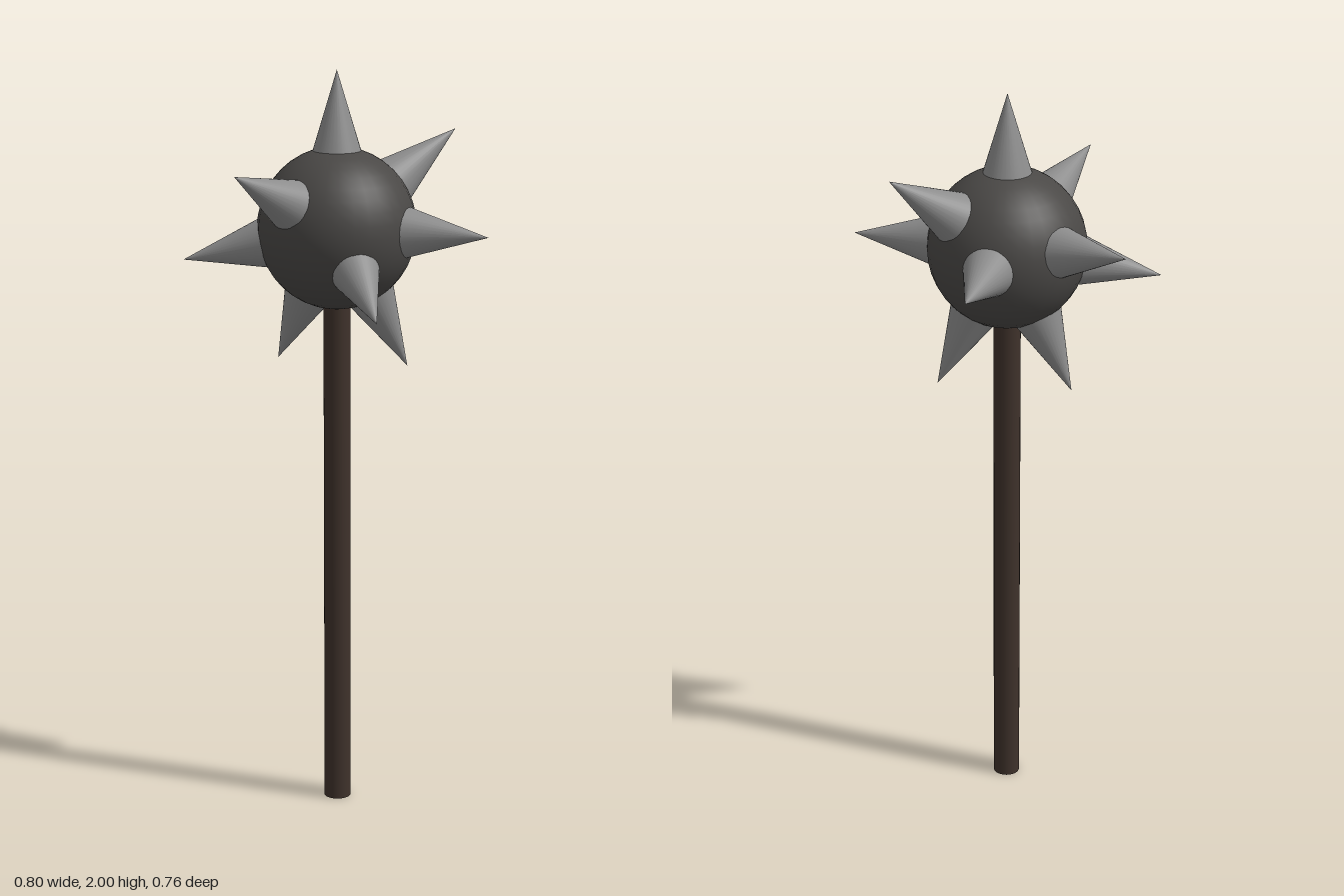
import * as THREE from 'three';

const CENTER = new THREE.Vector3(-0.015, 1.588, 0.031);
const BALL_RADIUS = 0.209;

// Spike tips as offsets from the ball centre
const TIPS = [
  [0, 0.412, 0],
  [0.415, 0, 0],
  [0, 0, -0.415],
  [0.24, 0.24, -0.25],
  [-0.355, 0.072, -0.198],
  [-0.385, -0.088, 0.124],
  [-0.14, 0.177, 0.35],
  [0.217, -0.183, 0.289],
  [0.17, -0.372, -0.077],
  [-0.185, -0.37, -0.04],
];

export function createModel() {
  const model = new THREE.Group();
  model.name = 'spikedMace';
  const wood = new THREE.MeshStandardMaterial({ color: 0x3f322b });
  const iron = new THREE.MeshStandardMaterial({ color: 0x4a4846 });
  const steel = new THREE.MeshStandardMaterial({ color: 0x8c8c8c });

  // Handle, running up into the ball
  const handleHeight = 1.5;
  const handle = new THREE.Mesh(new THREE.CylinderGeometry(0.036, 0.036, handleHeight, 24), wood);
  handle.name = 'handle';
  handle.position.set(CENTER.x, handleHeight / 2, CENTER.z);
  model.add(handle);

  // Ball head
  const ball = new THREE.Mesh(new THREE.SphereGeometry(BALL_RADIUS, 32, 20), iron);
  ball.name = 'ball';
  ball.scale.y = 1.02;
  ball.position.copy(CENTER);
  model.add(ball);

  // Conical spikes, their bases sunk into the ball
  const spikes = new THREE.Group();
  spikes.name = 'spikes';
  spikes.position.copy(CENTER);
  const up = new THREE.Vector3(0, 1, 0);
  const baseDistance = 0.18;
  for (const tip of TIPS) {
    const direction = new THREE.Vector3(...tip);
    const height = direction.length() - baseDistance;
    direction.normalize();
    const spike = new THREE.Mesh(new THREE.ConeGeometry(height * 0.302, height, 32), steel);
    spike.name = 'spike';
    spike.quaternion.setFromUnitVectors(up, direction);
    spike.position.copy(direction).multiplyScalar(baseDistance + height / 2);
    spikes.add(spike);
  }
  model.add(spikes);

  return model;
}
